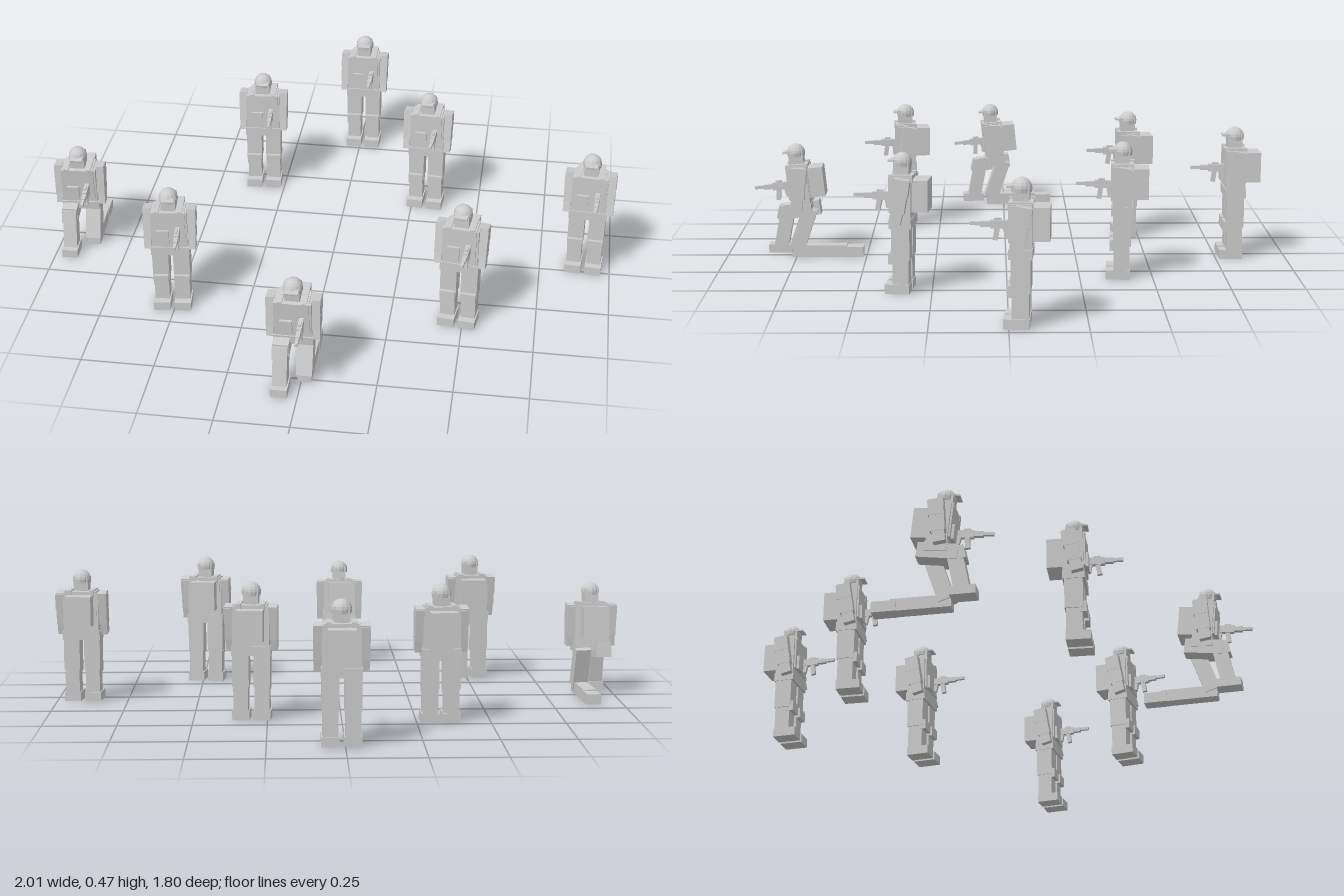
import * as THREE from 'three';

const material = new THREE.MeshStandardMaterial({ color: 0xcccccc, flatShading: true });

function add(parent, name, geometry, x = 0, y = 0, z = 0, tilt = 0) {
  const mesh = new THREE.Mesh(geometry, material);
  mesh.name = name;
  mesh.position.set(x, y, z);
  mesh.rotation.x = tilt;
  parent.add(mesh);
  return mesh;
}

// Box given by its extents
function box(parent, name, x0, x1, y0, y1, z0, z1, tilt = 0) {
  return add(parent, name, new THREE.BoxGeometry(x1 - x0, y1 - y0, z1 - z0),
    (x0 + x1) / 2, (y0 + y1) / 2, (z0 + z1) / 2, tilt);
}

// Box running between two points in the side plane
function limb(parent, name, x, width, depth, [ya, za], [yb, zb]) {
  const length = Math.hypot(yb - ya, zb - za);
  return add(parent, name, new THREE.BoxGeometry(width, length, depth),
    x, (ya + yb) / 2, (za + zb) / 2, Math.atan2(za - zb, ya - yb));
}

// Everything above the hips; the origin is at hip height
function upperBody() {
  const g = new THREE.Group();
  g.name = 'upperBody';
  box(g, 'belt', -0.066, 0.066, -0.012, 0.02, -0.037, 0.037);
  box(g, 'torso', -0.062, 0.062, 0.015, 0.155, -0.035, 0.033);
  box(g, 'vest', -0.055, 0.055, 0.04, 0.16, -0.037, 0.039);
  box(g, 'chestPouch', -0.042, 0.0, 0.04, 0.092, 0.036, 0.048);
  for (const s of [-1, 1]) {
    // Arms hang with the hands a little forward
    limb(g, 'arm', s * 0.075, 0.028, 0.048, [0.157, -0.012], [0.045, 0.006]);
    limb(g, 'hand', s * 0.076, 0.024, 0.04, [0.05, 0.006], [0.008, 0.015]);
    box(g, 'shoulderPad', s * 0.075 - 0.015, s * 0.075 + 0.015, 0.1, 0.153, -0.034, 0.016, -0.15);
    box(g, 'shoulderStrap', s * 0.04 - 0.008, s * 0.04 + 0.008, 0.14, 0.165, -0.04, 0.04);
  }
  box(g, 'backpack', -0.045, 0.045, 0.042, 0.148, -0.09, -0.035);

  // Head with domed helmet and brim
  add(g, 'neck', new THREE.CylinderGeometry(0.02, 0.022, 0.025, 8), 0, 0.165, 0);
  box(g, 'head', -0.025, 0.025, 0.163, 0.212, -0.025, 0.027);
  add(g, 'helmet', new THREE.SphereGeometry(0.033, 12, 5, 0, Math.PI * 2, 0, Math.PI / 2), 0, 0.202, 0);
  add(g, 'helmetRim', new THREE.CylinderGeometry(0.033, 0.031, 0.014, 12), 0, 0.196, 0);
  box(g, 'brim', -0.022, 0.022, 0.205, 0.211, 0.02, 0.046, 0.12);

  // Rifle
  const rifle = new THREE.Group();
  rifle.name = 'rifle';
  rifle.position.set(0.031, 0.093, 0);
  box(rifle, 'receiver', -0.008, 0.008, -0.013, 0.013, 0.02, 0.095);
  box(rifle, 'barrel', -0.005, 0.005, -0.004, 0.007, 0.09, 0.158);
  box(rifle, 'handguard', -0.007, 0.007, -0.008, 0.009, 0.09, 0.125);
  box(rifle, 'magazine', -0.006, 0.006, -0.05, -0.01, 0.068, 0.084, -0.15);
  box(rifle, 'grip', -0.006, 0.006, -0.04, -0.01, 0.038, 0.052, 0.2);
  box(rifle, 'sight', -0.004, 0.004, 0.012, 0.02, 0.06, 0.082);
  g.add(rifle);
  return g;
}

function standingFigure() {
  const g = new THREE.Group();
  const body = upperBody();
  body.position.y = 0.233;
  g.add(body);
  for (const s of [-1, 1]) {
    const x = s * 0.036;
    box(g, 'thigh', x - 0.028, x + 0.028, 0.115, 0.228, -0.031, 0.03);
    box(g, 'shin', x - 0.025, x + 0.025, 0.025, 0.12, -0.027, 0.027);
    box(g, 'kneePad', x - 0.026, x + 0.026, 0.1, 0.137, 0.015, 0.041);
    box(g, 'boot', x - 0.029, x + 0.029, 0, 0.032, -0.029, 0.053);
  }
  return g;
}

function kneelingFigure() {
  const g = new THREE.Group();
  const body = upperBody();
  body.position.set(0, 0.17, -0.02);
  body.rotation.x = 0.1;
  g.add(body);
  // Raised front leg
  limb(g, 'frontThigh', -0.036, 0.054, 0.052, [0.168, -0.08], [0.148, 0.05]);
  limb(g, 'frontShin', -0.036, 0.048, 0.05, [0.165, 0.035], [0.025, 0.062]);
  limb(g, 'frontKneePad', -0.036, 0.052, 0.018, [0.17, 0.058], [0.125, 0.068]);
  box(g, 'frontBoot', -0.064, -0.008, 0, 0.03, 0.025, 0.107);
  // Rear leg with the shin on the ground
  limb(g, 'rearThigh', 0.036, 0.054, 0.054, [0.175, -0.05], [0.025, 0.0]);
  box(g, 'rearShin', 0.013, 0.059, 0, 0.042, -0.18, 0.015);
  box(g, 'rearBoot', 0.011, 0.061, 0, 0.037, -0.24, -0.16);
  return g;
}

export function createModel() {
  const model = new THREE.Group();
  model.name = 'squad';
  // x, z, yaw, kneeling
  const placements = [
    [0.012, -0.815, 0, false],
    [-0.33, -0.46, 0.07, false],
    [0.302, -0.395, -0.07, false],
    [0.907, -0.04, -0.08, false],
    [0.486, 0.345, -0.13, false],
    [-0.51, 0.38, 0.11, false],
    [-0.915, 0.055, 0.07, true],
    [-0.025, 0.75, 0, true],
  ];
  for (const [x, z, yaw, kneeling] of placements) {
    const figure = kneeling ? kneelingFigure() : standingFigure();
    figure.name = kneeling ? 'kneelingSoldier' : 'standingSoldier';
    figure.position.set(x, 0, z);
    figure.rotation.y = yaw;
    model.add(figure);
  }
  return model;
}
